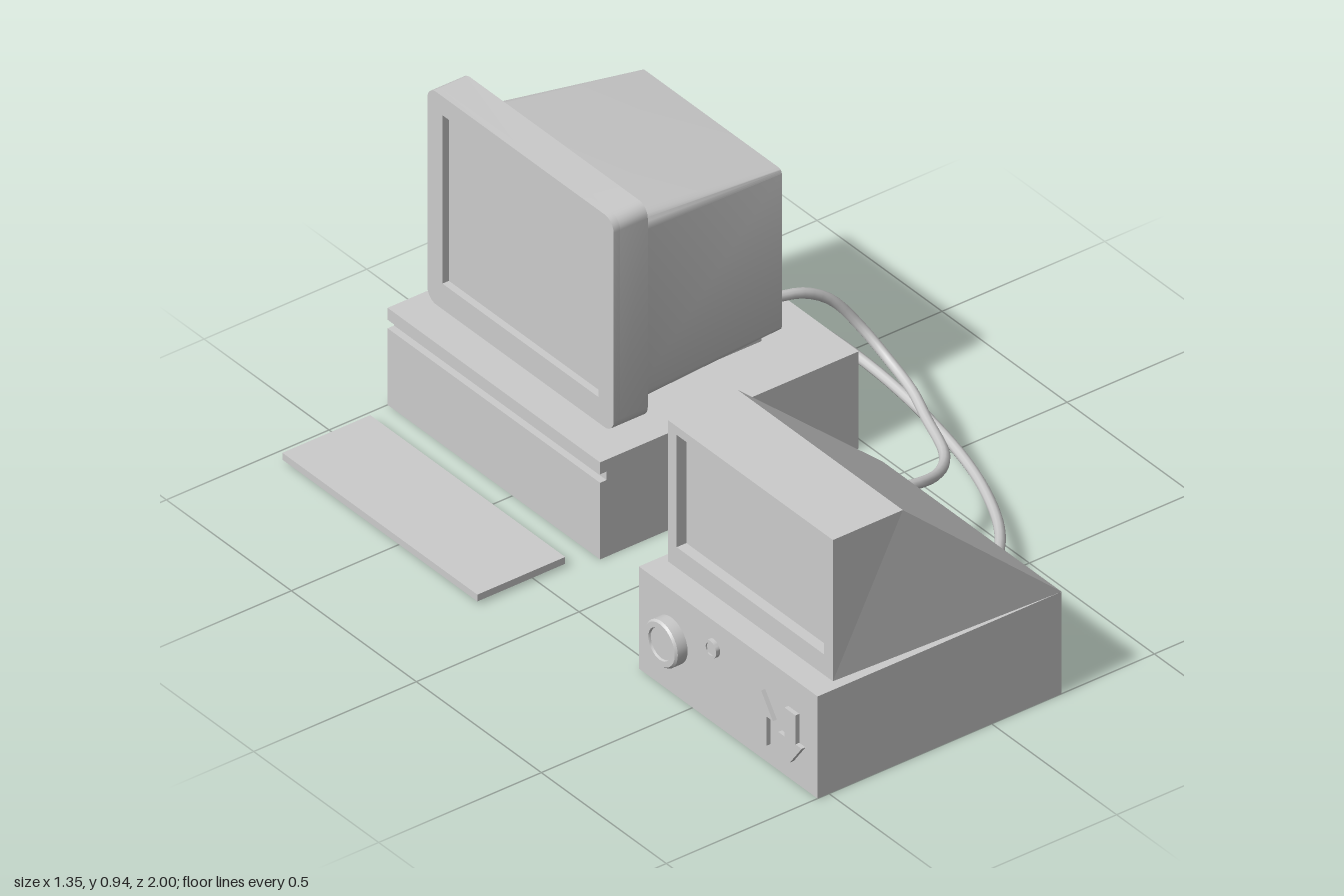
import * as THREE from 'three';
import { toCreasedNormals } from 'three/addons/utils/BufferGeometryUtils.js';

const grey = new THREE.MeshStandardMaterial({ color: 0xcccccc, side: THREE.DoubleSide });
const V = (x, y, z) => new THREE.Vector3(x, y, z);

function add(parent, name, geometry) {
  const mesh = new THREE.Mesh(geometry, grey);
  mesh.name = name;
  parent.add(mesh);
  return mesh;
}

// Flat polygons, each a list of corners, fanned into triangles
function polygons(list) {
  const pts = [];
  for (const p of list) for (let i = 1; i < p.length - 1; i++) pts.push(p[0], p[i], p[i + 1]);
  const g = new THREE.BufferGeometry().setFromPoints(pts);
  g.computeVertexNormals();
  return g;
}

const shapeOf = (pts) => new THREE.Shape(pts.map(([a, b]) => new THREE.Vector2(a, b)));
const rect = (a0, a1, b0, b1) => [[a0, b0], [a1, b0], [a1, b1], [a0, b1]];

// Rounded rectangle outline as [a, b] points, always the same count
function roundRect(a0, a1, b0, b1, r, n = 6) {
  const out = [];
  [[a1 - r, b1 - r], [a0 + r, b1 - r], [a0 + r, b0 + r], [a1 - r, b0 + r]].forEach(([ca, cb], k) => {
    for (let i = 0; i <= n; i++) {
      const t = (k + i / n) * Math.PI / 2;
      out.push([ca + r * Math.cos(t), cb + r * Math.sin(t)]);
    }
  });
  return out;
}

// Extrude a (z, y) shape from plane x towards -x
function extrudeX(shape, x, depth) {
  const g = new THREE.ExtrudeGeometry(shape, { depth, bevelEnabled: false });
  g.rotateY(-Math.PI / 2).translate(x, 0, 0);
  return toCreasedNormals(g, 0.6);
}

// Housing open underneath: walls follow an (x, y) path, top plate has a hole
function housing(name, path, z0, z1, hole) {
  const g = new THREE.Group();
  g.name = name;
  const top = Math.max(...path.map((p) => p[1]));
  const walls = [];
  for (let i = 0; i < path.length - 1; i++) {
    const [a, b] = [path[i], path[i + 1]];
    if (a[1] === top && b[1] === top) continue;
    walls.push([V(...a, z1), V(...a, z0), V(...b, z0), V(...b, z1)]);
  }
  add(g, 'walls', polygons(walls));
  for (const z of [z0, z1]) add(g, 'sidePanel', new THREE.ShapeGeometry(shapeOf(path)).translate(0, 0, z));
  const xs = path.map((p) => p[0]);
  const plate = shapeOf(rect(Math.min(...xs), Math.max(...xs), -z1, -z0));
  plate.holes.push(shapeOf(hole.map(([x, z]) => [x, -z])));
  add(g, 'topPlate', new THREE.ShapeGeometry(plate).rotateX(-Math.PI / 2).translate(0, top, 0));
  return g;
}

// Frame around a recessed screen that faces -x
function recessedScreen(parent, outline, opening, x, recess, backing) {
  const frame = shapeOf(outline);
  frame.holes.push(shapeOf(opening));
  add(parent, 'screenFrame', extrudeX(frame, x + recess, recess));
  add(parent, 'screen', extrudeX(shapeOf(outline), x + recess + backing, backing));
}

function createComputer() {
  // Case with a groove along its front
  const g = housing('computerCase', [[0.475, 0], [0.475, 0.285], [-0.32, 0.285], [-0.32, 0.25],
    [-0.3, 0.25], [-0.3, 0.225], [-0.32, 0.225], [-0.32, 0]], -1, -0.15, rect(-0.08, 0.315, -0.82, -0.33));

  // Short monitor stand, open at both ends
  const ring = rect(-0.08, 0.315, -0.82, -0.33);
  add(g, 'monitorStand', polygons(ring.map((a, i) => {
    const b = ring[(i + 1) % 4];
    return [V(a[0], 0.32, a[1]), V(b[0], 0.32, b[1]), V(b[0], 0.285, b[1]), V(a[0], 0.285, a[1])];
  })));

  // Monitor bezel and tapering tube housing
  const monitor = new THREE.Group();
  monitor.name = 'monitor';
  recessedScreen(monitor, roundRect(-0.945, -0.2, 0.31, 0.935, 0.035), rect(-0.885, -0.26, 0.385, 0.88),
    -0.24, 0.02, 0.085);
  const near = roundRect(-0.9, -0.245, 0.32, 0.87, 0.04).map(([z, y]) => V(-0.135, y, z));
  const far = roundRect(-0.855, -0.295, 0.32, 0.793, 0.012).map(([z, y]) => V(0.35, y, z));
  const sides = near.map((p, i) => {
    const j = (i + 1) % near.length;
    return [p, near[j], far[j], far[i]];
  });
  add(monitor, 'tubeHousing', toCreasedNormals(polygons([...sides, far.slice().reverse()]), 0.6));
  g.add(monitor);
  return g;
}

function createScope() {
  const g = housing('scopeBase', [[0.215, 0], [0.215, 0.3], [-0.535, 0.3], [-0.535, 0]], 0.285, 1,
    [[-0.465, 0.315], [0.2, 0.29], [0.2, 0.995], [-0.465, 0.97]]);

  // Hood with a sloping back that widens downwards
  const hood = new THREE.Group();
  hood.name = 'scopeHood';
  const corners = (z, zLow) => [V(-0.465, 0.3, z), V(-0.465, 0.715, z), V(-0.25, 0.715, z), V(0.215, 0.3, zLow)];
  const a = corners(0.31, 0.285), b = corners(0.97, 1);
  add(hood, 'hoodShell', polygons([
    [a[0], a[1], a[2]], [a[0], a[2], a[3]],
    [b[0], b[2], b[1]], [b[0], b[3], b[2]],
    [a[1], b[1], b[2], a[2]], [a[2], b[2], b[3], a[3]],
  ]));
  recessedScreen(hood, rect(0.31, 0.97, 0.3, 0.715), rect(0.345, 0.935, 0.36, 0.69), -0.465, 0.03, 0.005);
  g.add(hood);

  // Dial with a sunken face, and a small button
  const dial = [[0.065, 0], [0.065, 0.03], [0.06, 0.036], [0.045, 0.036], [0.043, 0.03], [0, 0.03]];
  const button = [[0.025, 0], [0.025, 0.012], [0.017, 0.012], [0.017, 0.008], [0, 0.008]];
  for (const [name, profile, y, z] of [['dial', dial, 0.155, 0.415], ['button', button, 0.222, 0.585]]) {
    const lathe = new THREE.LatheGeometry(profile.map((p) => new THREE.Vector2(...p)), 28);
    add(g, name, toCreasedNormals(lathe, 0.5).rotateZ(Math.PI / 2)).position.set(-0.535, y, z);
  }

  // Raised arrows, one up and one down
  const arrow = [[-0.022, -0.075], [0.022, -0.075], [0.022, 0.01], [0.047, 0.01], [0, 0.075], [-0.047, 0.01], [-0.022, 0.01]];
  for (const [name, z, turn] of [['upArrow', 0.79, 0], ['downArrow', 0.905, Math.PI]]) {
    const mesh = add(g, name, extrudeX(shapeOf(arrow), 0, 0.012));
    mesh.position.set(-0.535, 0.135, z);
    mesh.rotation.x = turn;
  }
  return g;
}

export function createModel() {
  const model = new THREE.Group();
  model.name = 'computerAndScope';
  model.add(createComputer(), createScope());

  // Keyboard slab
  add(model, 'keyboard', new THREE.BoxGeometry(0.27, 0.02, 0.78)).position.set(-0.543, 0.02, -0.565);

  // Two drooping cables
  const cables = {
    monitorCable: [[0.34, 0.41, -0.315], [0.43, 0.39, -0.31], [0.51, 0.34, -0.3], [0.575, 0.25, -0.265],
      [0.597, 0.19, -0.19], [0.585, 0.163, -0.08], [0.55, 0.153, 0.02], [0.47, 0.17, 0.2],
      [0.38, 0.2, 0.29], [0.29, 0.23, 0.33], [0.2, 0.253, 0.335]],
    caseCable: [[0.465, 0.135, -0.785], [0.5, 0.13, -0.765], [0.58, 0.108, -0.68], [0.635, 0.085, -0.52],
      [0.657, 0.065, -0.33], [0.652, 0.045, -0.12], [0.62, 0.036, 0.08], [0.56, 0.047, 0.25],
      [0.47, 0.067, 0.42], [0.36, 0.092, 0.55], [0.205, 0.122, 0.66]],
  };
  for (const [name, pts] of Object.entries(cables)) {
    const curve = new THREE.CatmullRomCurve3(pts.map((p) => V(...p)));
    add(model, name, new THREE.TubeGeometry(curve, 40, 0.014, 10));
  }
  return model;
}
